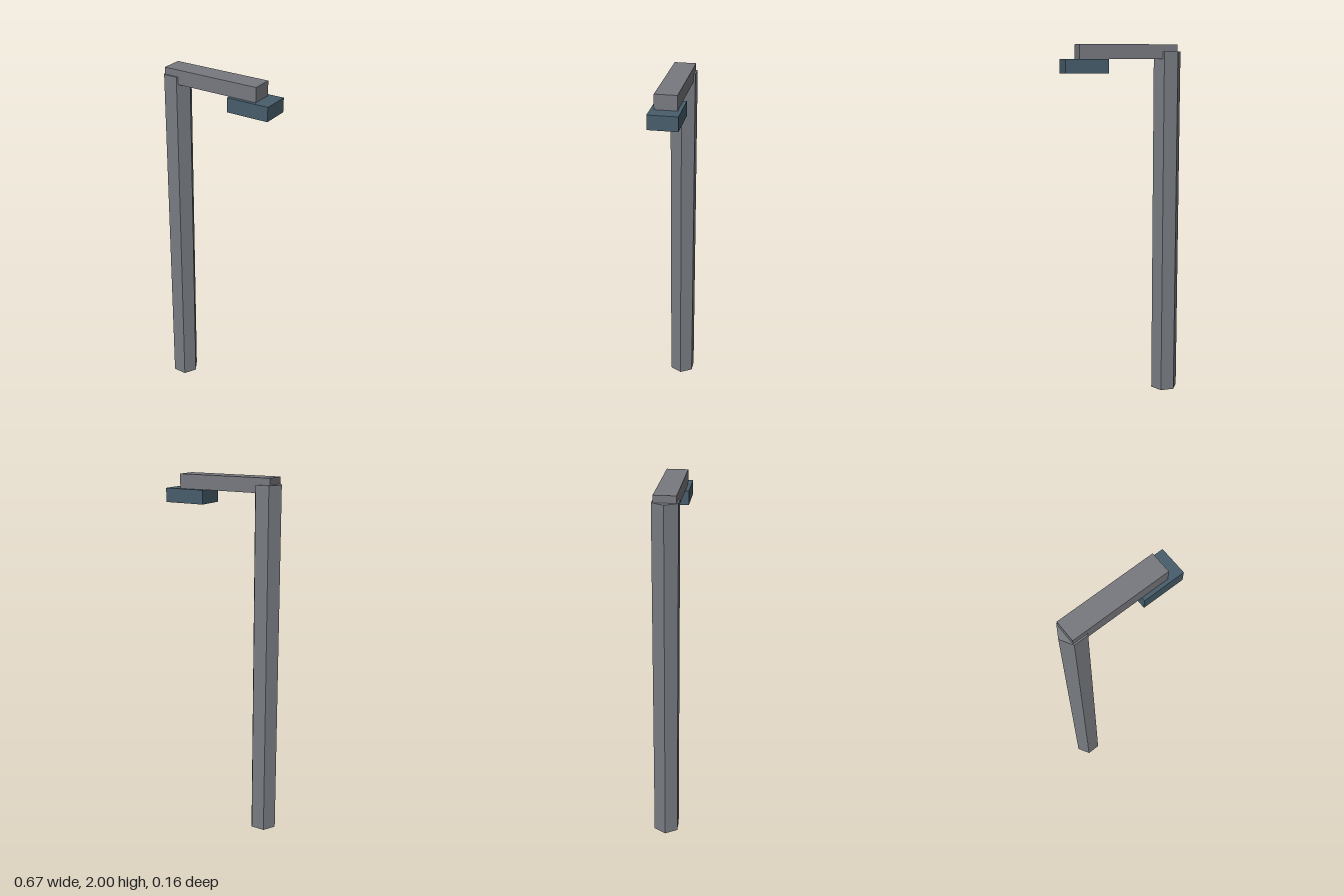
import * as THREE from 'three';

export function createModel() {
  const group = new THREE.Group();
  const material = (name, color, side = THREE.FrontSide) => {
    const m = new THREE.MeshStandardMaterial({ color, side, flatShading: true });
    m.name = name;
    return m;
  };
  const poleGrey = material('pole grey', 0x787c81, THREE.DoubleSide);
  const armGrey = material('arm grey', 0x78797f);
  const slateBlue = material('slate blue', 0x475d6b);

  const add = (name, geometry, mat, x, y, z = 0) => {
    const mesh = new THREE.Mesh(geometry, mat);
    mesh.name = name;
    mesh.position.set(x, y, z);
    group.add(mesh);
    return mesh;
  };

  // Hexagonal pole: hollow at the foot, closed at the top
  const poleX = -0.256, poleR = 0.0775, poleH = 1.963;
  const hexagon = (g) => g.rotateY(Math.PI / 2);
  add('pole', hexagon(new THREE.CylinderGeometry(poleR, poleR, poleH, 6, 1, true)), poleGrey, poleX, poleH / 2);
  add('poleCap', new THREE.CircleGeometry(poleR, 6).rotateX(-Math.PI / 2), poleGrey, poleX, poleH);

  // Horizontal arm
  add('arm', new THREE.BoxGeometry(0.549, 0.078, 0.117), armGrey, -0.021, 1.961);

  // Lamp head hanging under the arm's end
  add('lampHead', new THREE.BoxGeometry(0.235, 0.076, 0.156), slateBlue, 0.216, 1.884);

  return group;
}
